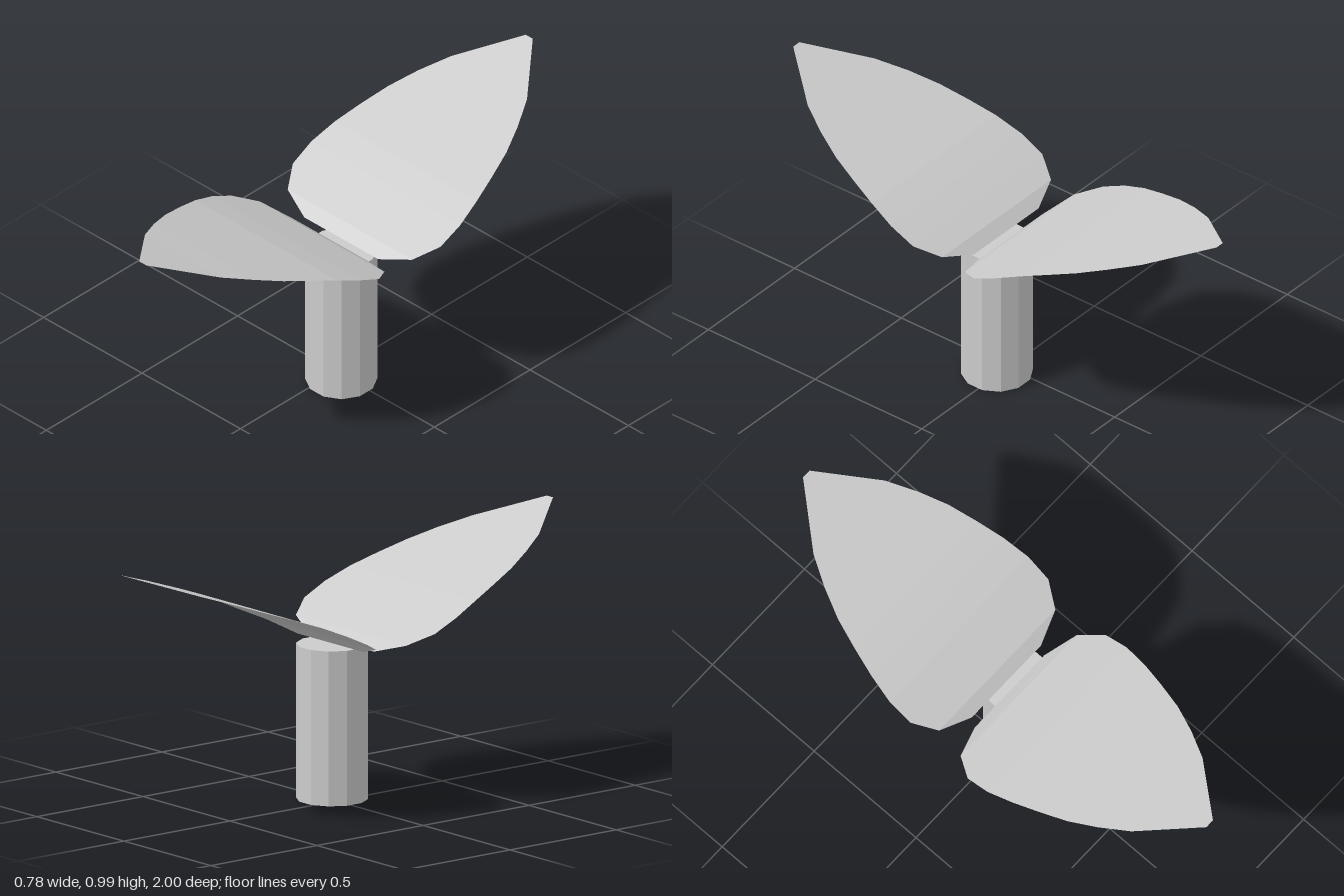
import * as THREE from 'three';

const material = new THREE.MeshStandardMaterial({ color: 0xcccccc, flatShading: true, side: THREE.DoubleSide });

// Leaf cross-sections from base to tip: [z, height, half width]
const sections = [
  [0.017, 0.593, 0.188], [0.062, 0.631, 0.316], [0.15, 0.673, 0.375],
  [0.25, 0.72, 0.378], [0.355, 0.765, 0.36], [0.46, 0.803, 0.333],
  [0.572, 0.842, 0.3], [0.68, 0.88, 0.253], [0.79, 0.917, 0.193], [1, 0.992, 0.018],
];
const leafOffset = -0.01;

// Thin curved sheet joining the cross-sections, upper side facing up
function leafGeometry() {
  const positions = [], index = [];
  sections.forEach(([z, y, half], i) => {
    positions.push(leafOffset - half, y, z, leafOffset + half, y, z);
    if (i > 0) {
      const a = 2 * (i - 1);
      index.push(a, a + 2, a + 1, a + 1, a + 2, a + 3);
    }
  });
  const geometry = new THREE.BufferGeometry();
  geometry.setAttribute('position', new THREE.Float32BufferAttribute(positions, 3));
  geometry.setIndex(index);
  geometry.computeVertexNormals();
  return geometry;
}

export function createModel() {
  const model = new THREE.Group();
  model.name = 'sprout';

  // Twelve-sided stem, slightly off centre
  const height = 0.58;
  const stem = new THREE.Mesh(new THREE.CylinderGeometry(0.132, 0.132, height, 12), material);
  stem.name = 'stem';
  stem.rotation.y = Math.PI / 12;
  stem.position.set(0.043, height / 2, 0.017);
  model.add(stem);

  // Two opposite leaves, the back one turned half way round
  const geometry = leafGeometry();
  ['frontLeaf', 'backLeaf'].forEach((name, i) => {
    const leaf = new THREE.Mesh(geometry, material);
    leaf.name = name;
    leaf.rotation.y = i * Math.PI;
    model.add(leaf);
  });
  return model;
}
